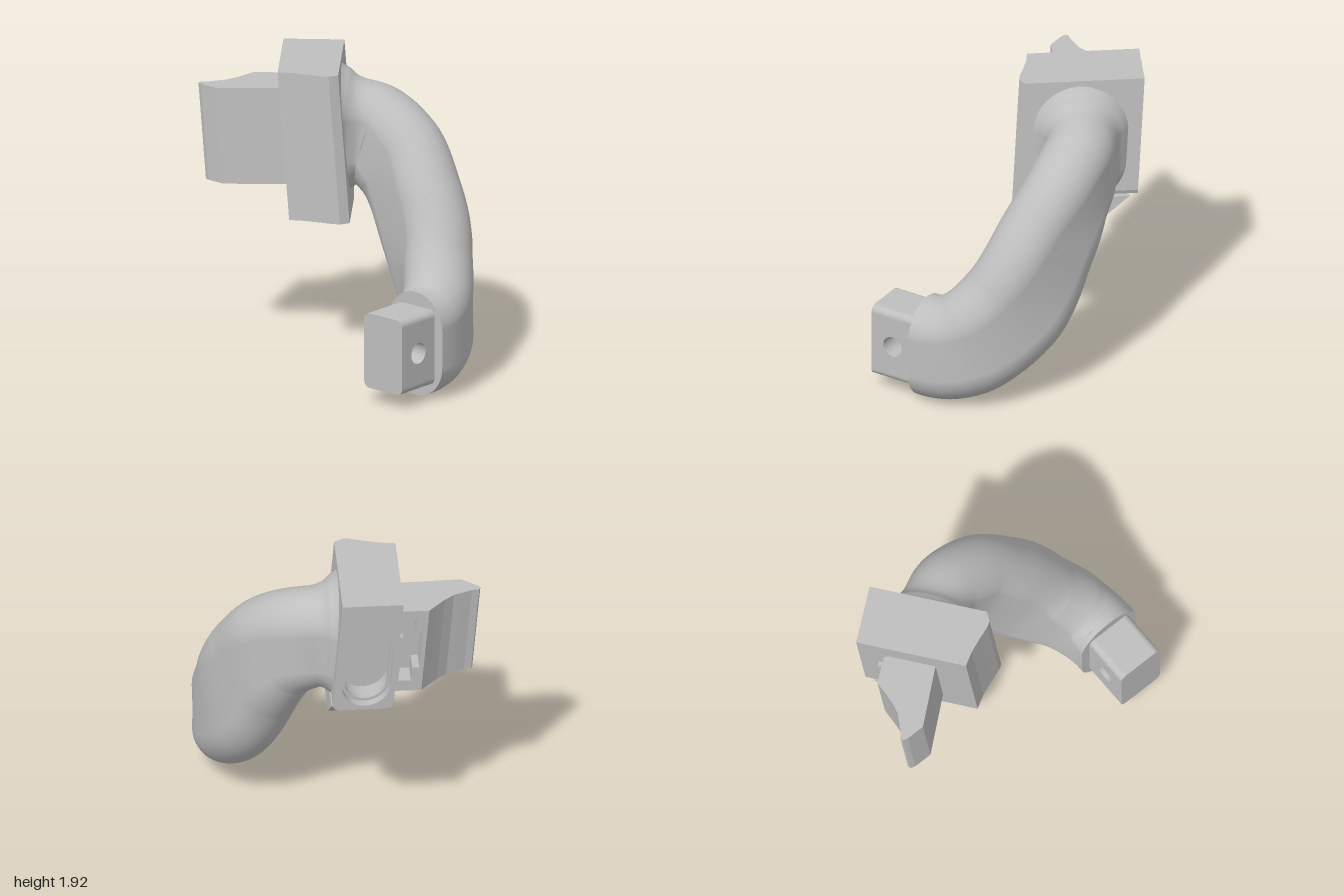
import * as THREE from 'three';

const grey = new THREE.MeshStandardMaterial({ color: 0xbebebe });
grey.name = 'plain grey';
const LEAN = 0.1; // the mount leans back with height

const poly = (pts) => new THREE.Shape(pts.map(([x, y]) => new THREE.Vector2(x, y)));

// upright stadium outline: centre, half width, half height
function stadium(cx, cy, r, hh, Type = THREE.Shape) {
  const s = new Type();
  s.absarc(cx, cy + hh - r, r, 0, Math.PI, false);
  s.absarc(cx, cy - hh + r, r, Math.PI, Math.PI * 2, false);
  s.closePath();
  return s;
}

const extrude = (shape, depth) =>
  new THREE.ExtrudeGeometry(shape, { depth, bevelEnabled: false, curveSegments: 16 });
// outline in (-z, y), swept from x0 to x1
const alongX = (shape, x0, x1) => extrude(shape, x1 - x0).rotateY(Math.PI / 2).translate(x0, 0, 0);
// plan outline in (x, -z), swept from y0 to y1
const alongY = (shape, y0, y1) => extrude(shape, y1 - y0).rotateX(-Math.PI / 2).translate(0, y0, 0);

function lean(geo, top) {
  const p = geo.attributes.position;
  for (let i = 0; i < p.count; i++) p.setZ(i, p.getZ(i) + LEAN * (top - p.getY(i)));
  geo.computeVertexNormals();
  return geo;
}

// swept arm of stadium section, deeper in the lower middle, flaring where it meets the mount
function armGeometry() {
  const path = new THREE.CatmullRomCurve3([
    [-0.27, 0.347, 0.775], [-0.2, 0.348, 0.773], [-0.1, 0.365, 0.754], [0.04, 0.435, 0.69], [0.22, 0.66, 0.505],
    [0.322, 1.04, 0.29], [0.36, 1.295, 0.1], [0.335, 1.42, -0.1], [0.25, 1.44, -0.24], [0.22, 1.44, -0.28],
  ].map((a) => new THREE.Vector3(...a)), false, 'centripetal');
  const M = 96, N = 48, pos = [], idx = [];
  const up = new THREE.Vector3(0, 1, 0);
  for (let i = 0; i <= M; i++) {
    const t = i / M, c = path.getPointAt(t);
    const T = i === 0 ? new THREE.Vector3(1, 0, 0) : path.getTangentAt(t);
    const S = T.clone().cross(up).normalize(), L = T.clone().cross(S);
    const r = 0.225 + 0.12 * Math.max(0, (t - 0.915) / 0.085) ** 2;
    const straight = 0.12 + 0.04 * Math.sin(Math.PI * Math.min(1, t / 0.85)) ** 2;
    for (let j = 0; j < N; j++) {
      const a = ((j + 0.5) / N) * Math.PI * 2, sn = Math.sin(a);
      const v = c.clone().addScaledVector(S, r * Math.cos(a)).addScaledVector(L, r * sn + Math.sign(sn) * straight);
      pos.push(v.x, v.y, v.z);
      if (i < M) {
        const k = (j + 1) % N, p = i * N;
        idx.push(p + j, p + k, p + N + j, p + k, p + N + k, p + N + j);
      }
    }
  }
  const g = new THREE.BufferGeometry();
  g.setAttribute('position', new THREE.Float32BufferAttribute(pos, 3));
  g.setIndex(idx);
  g.computeVertexNormals();
  return g;
}

export function createModel() {
  const root = new THREE.Group();
  const add = (name, geo) => {
    const m = new THREE.Mesh(geo, grey);
    m.name = name;
    root.add(m);
  };

  // curved arm and its flat end
  add('arm', armGeometry());
  add('armEnd', alongX(stadium(-0.775, 0.347, 0.225, 0.345), -0.272, -0.269));

  // peg with a cross hole and rounded long edges
  const pegSide = poly([[-0.59, 0.145], [-0.26, 0.145], [-0.26, 0.555], [-0.59, 0.555]]);
  pegSide.holes.push(new THREE.Path().absarc(-0.43, 0.35, 0.07, 0, Math.PI * 2, true));
  add('peg', extrude(pegSide, 0.32).translate(0, 0, 0.615));
  for (const s of [1, -1]) {
    const e = new THREE.Shape(), r = 0.045, y = 0.35 + s * 0.205;
    e.moveTo(-0.935, y);
    e.absarc(-0.935 + r, y, r, Math.PI, Math.PI - s * Math.PI / 2, s > 0);
    e.absarc(-0.615 - r, y, r, s * Math.PI / 2, 0, s > 0);
    e.closePath();
    add('pegRoundedEdge', alongX(e, -0.59, -0.26));
  }

  // mount block, made in its own frame: x along the face, z = 0 at the front
  const place = (name, geo) => add(name, lean(geo.rotateY(0.657).translate(0.55, 0, -0.53), 1.92));
  const D = 0.39, U = -0.22;
  place('mountBlock', alongY(poly([
    [U, 0], [U, D], [-0.72, D], [-0.735, 0.29], [-0.765, 0.19], [-0.795, 0.1], [-0.8, 0.06], [-0.769, 0],
  ]), 0.95, 1.92));
  place('mountChamfer', extrude(poly([[U, 0.95], [-0.05, 1.1], [U, 1.1]]), D).translate(0, 0, -D));

  // stepped slot sunk into the end of the block, whose lower corners are rounded
  for (const [x0, x1, r, hh] of [[-0.06, 0, 0.155, 0.305], [-0.09, -0.06, 0.135, 0.285], [U, -0.09, 0.15, 0.3]]) {
    const ring = poly([[0.04, 1.1], [D - 0.04, 1.1], [D - 0.012, 1.112], [D, 1.14],
      [D, 1.92], [0, 1.92], [0, 1.14], [0.012, 1.112]]);
    ring.holes.push(stadium(0.205, 1.435, r, hh, THREE.Path));
    place('slotLayer', alongX(ring, x0, x1));
  }

  // rear clip in layers, with a cross-shaped socket in its end that opens towards the block
  const A = [0.06, 0.87], B = [0.17, 0.725];
  const onEnd = (t, d) => [A[0] + (B[0] - A[0]) * t - 0.79 * d, A[1] + (B[1] - A[1]) * t - 0.61 * d];
  const solid = [[0.15, 0.69], B];
  const narrow = [[0.15, 0.69], B, onEnd(0.85, 0), onEnd(0.85, 0.15), onEnd(0.4, 0.15), onEnd(0.4, 0)];
  const wide = [onEnd(1.15, 0.15), onEnd(0.15, 0.15), onEnd(0.15, 0)];
  const layers = [[1.12, 1.2, solid], [1.2, 1.3, narrow], [1.3, 1.58, wide], [1.58, 1.68, narrow], [1.68, 1.75, solid]];
  for (const [y0, y1, end] of layers) {
    const plan = poly([
      [-0.355, 0.835], [-0.08, 0.5], ...end, A,
      [-0.02, 0.875], [-0.1, 0.882], [-0.18, 0.9], [-0.23, 0.93], [-0.29, 0.965], [-0.325, 0.997],
      [-0.345, 0.992], [-0.355, 0.96],
    ]);
    add('clipLayer', lean(alongY(plan, y0, y1), 1.75));
  }
  // small tongue lying against the block inside the socket
  add('clipTongue', lean(alongY(poly([onEnd(1.15, 0.16), onEnd(1.15, -0.05), onEnd(0.88, -0.05), onEnd(0.88, 0.16)]),
    1.3, 1.58), 1.75));
  return root;
}
